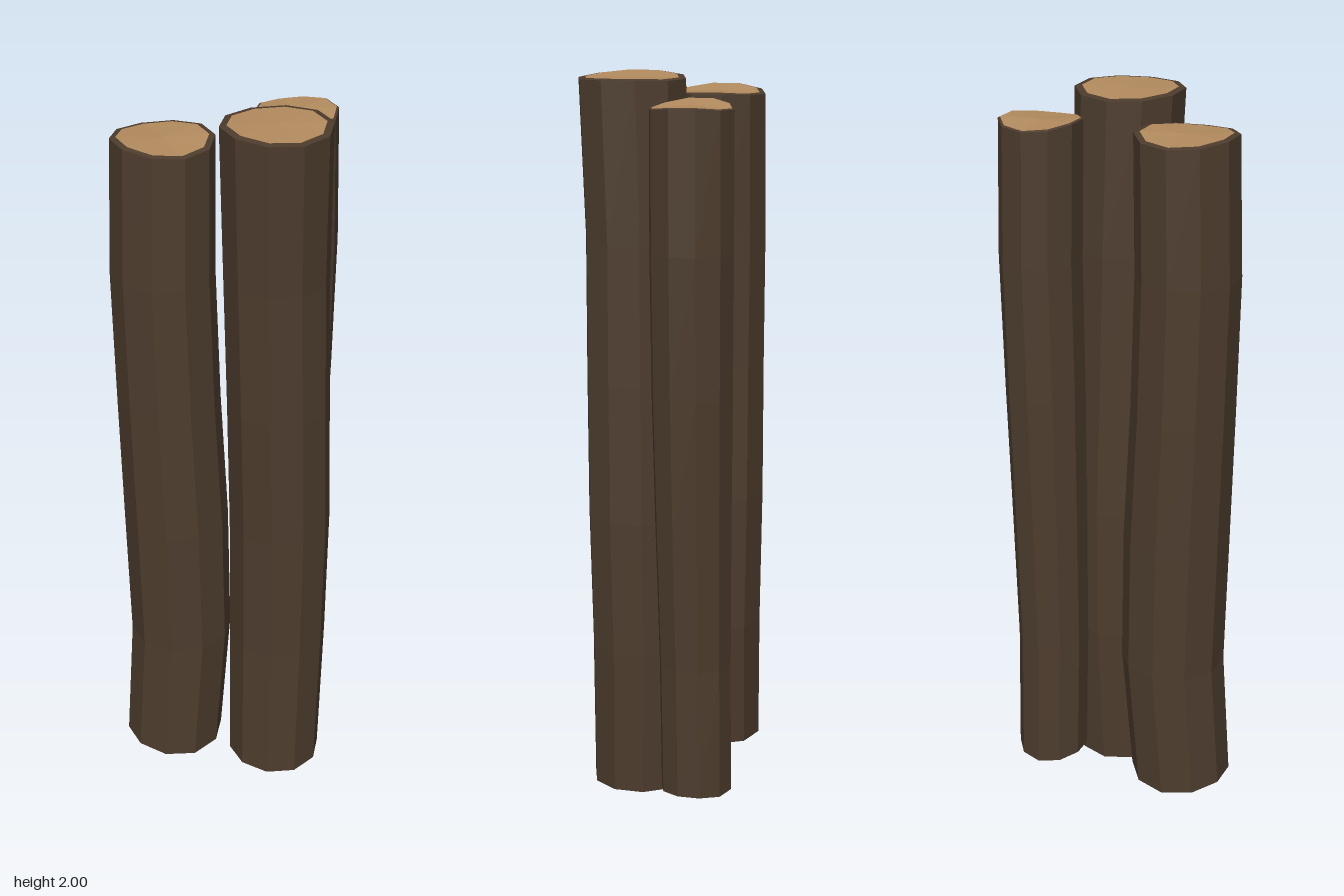
import * as THREE from 'three';

const SIDES = 10;

// Each ring is [y, centre x, centre z, radius]
const LOGS = [
  { name: 'leftRearLog', wave: 0.009, inset: 0.016, rings: [
    [0.06, -0.19, -0.089, 0.14], [0.43, -0.162, -0.089, 0.144], [0.81, -0.17, -0.089, 0.146],
    [1.19, -0.185, -0.089, 0.141], [1.57, -0.195, -0.089, 0.139], [1.937, -0.187, -0.089, 0.135]] },
  { name: 'frontLog', wave: 0.005, inset: 0.019, rings: [
    [0.008, 0.065, 0.067, 0.133], [0.43, 0.077, 0.06, 0.139], [0.81, 0.078, 0.065, 0.142],
    [1.19, 0.068, 0.07, 0.141], [1.57, 0.058, 0.072, 0.141], [1.992, 0.047, 0.086, 0.146]] },
  { name: 'thinRearLog', wave: 0.01, inset: 0.006, rings: [
    [0.06, 0.2, -0.131, 0.099], [0.43, 0.195, -0.125, 0.1], [0.81, 0.202, -0.12, 0.105],
    [1.19, 0.209, -0.117, 0.11], [1.57, 0.216, -0.116, 0.112], [1.937, 0.209, -0.113, 0.111]] },
];

// Ring of points, with an uneven saw-cut height when wave is set
function ringPoints([y, cx, cz, r], wave = 0) {
  return Array.from({ length: SIDES }, (_, i) => {
    const a = (i / SIDES) * Math.PI * 2;
    const dy = wave * (-0.7 * Math.cos(2 * a) - 0.3 * Math.sin(a + 0.6));
    return new THREE.Vector3(cx + Math.sin(a) * r, y + dy, cz + Math.cos(a) * r);
  });
}

function meshFrom(points, material, name) {
  const geometry = new THREE.BufferGeometry().setFromPoints(points);
  geometry.computeVertexNormals();
  const mesh = new THREE.Mesh(geometry, material);
  mesh.name = name;
  return mesh;
}

// Fan of triangles from the heart of the log to the ring
function fan(ring, up) {
  const heart = new THREE.Vector3();
  ring.forEach((p) => heart.addScaledVector(p, 1 / SIDES));
  return ring.flatMap((p, i) => {
    const q = ring[(i + 1) % SIDES];
    return up ? [heart, p, q] : [heart, q, p];
  });
}

function buildLog({ name, wave, inset, rings }, bark, wood) {
  const log = new THREE.Group();
  log.name = name;
  const last = rings.length - 1;
  const body = rings.map((r, i) => ringPoints(r, i === 0 || i === last ? wave : 0));

  // Cut faces sit just inside the bark rim
  const cut = ([y, x, z, r], dy) => ringPoints([y + dy, x, z, r - inset], wave);
  const bottom = cut(rings[0], -0.003);
  const top = cut(rings[last], 0.003);

  // Bark skin from the lower rim, along the bent trunk, to the upper rim
  const levels = [bottom, ...body, top];
  const skin = [];
  for (let k = 0; k < levels.length - 1; k++) {
    for (let i = 0; i < SIDES; i++) {
      const j = (i + 1) % SIDES;
      const a = levels[k][i], b = levels[k][j], c = levels[k + 1][j], d = levels[k + 1][i];
      skin.push(a, b, c, a, c, d);
    }
  }
  log.add(
    meshFrom(skin, bark, 'bark'),
    meshFrom(fan(top, true), wood, 'topCut'),
    meshFrom(fan(bottom, false), wood, 'bottomCut'),
  );
  return log;
}

export function createModel() {
  const bark = new THREE.MeshStandardMaterial({ color: 0x4d3c2d });
  bark.name = 'dark bark';
  const wood = new THREE.MeshStandardMaterial({ color: 0xb48c5f });
  wood.name = 'cut wood';

  const model = new THREE.Group();
  model.name = 'logBundle';
  LOGS.forEach((spec) => model.add(buildLog(spec, bark, wood)));
  return model;
}
